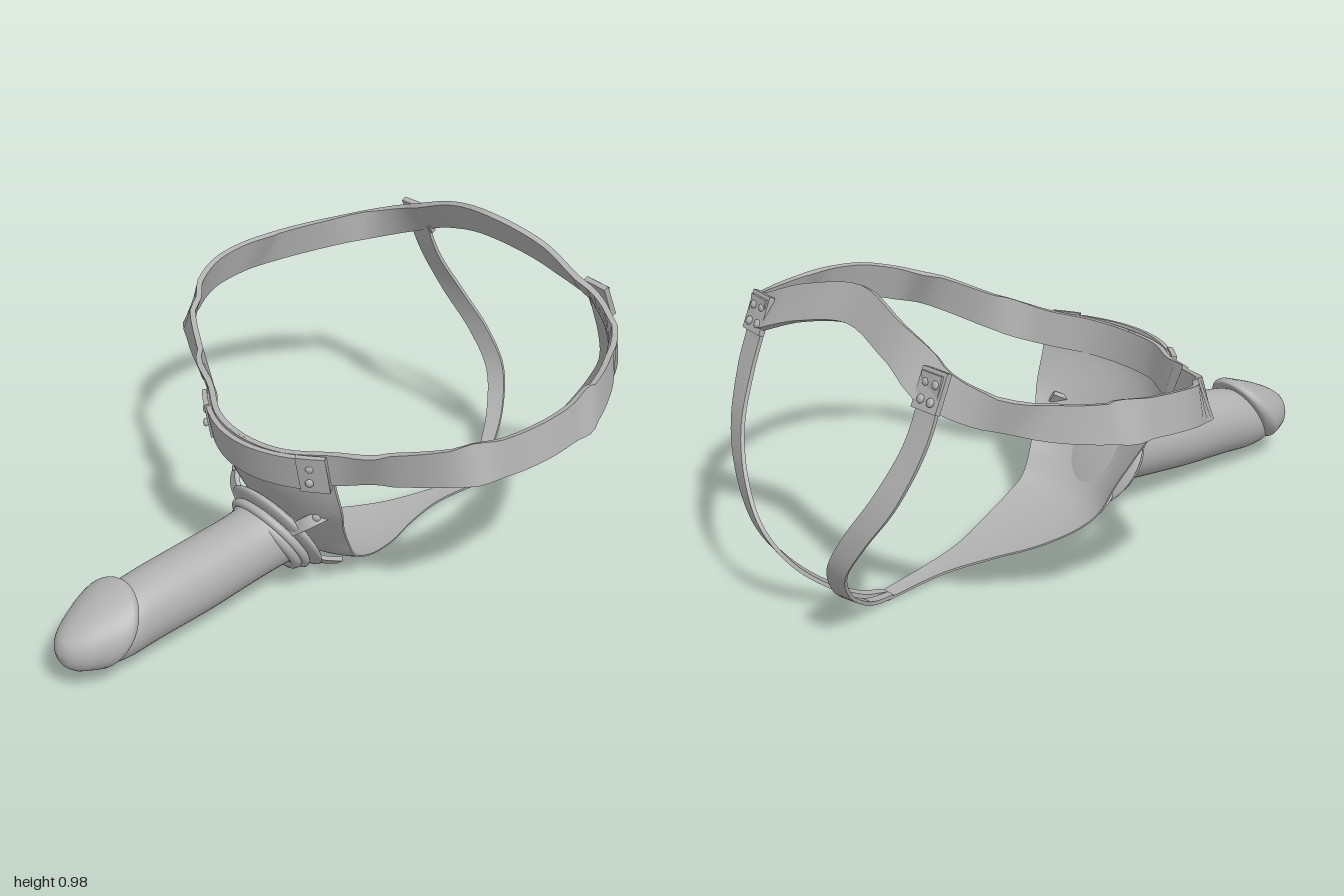
import * as THREE from 'three';
import { mergeGeometries } from 'three/addons/utils/BufferGeometryUtils.js';

const V = (a) => new THREE.Vector3(...a);
const grey = new THREE.MeshStandardMaterial({ color: 0xb0b0b0, side: THREE.DoubleSide });
grey.name = 'grey';

// Smooth grid surface from f(u, v); optionally closed in u
function surface(f, nu, nv, closed = false) {
  const pos = [], index = [], cols = closed ? nu : nu + 1;
  for (let i = 0; i < cols; i++)
    for (let j = 0; j <= nv; j++) pos.push(...f(i / nu, j / nv).toArray());
  for (let i = 0; i < nu; i++)
    for (let j = 0; j < nv; j++) {
      const a = i * (nv + 1) + j, b = ((i + 1) % cols) * (nv + 1) + j;
      index.push(a, b, a + 1, b, b + 1, a + 1);
    }
  const g = new THREE.BufferGeometry();
  g.setAttribute('position', new THREE.Float32BufferAttribute(pos, 3));
  g.setIndex(index);
  g.computeVertexNormals();
  return g;
}

// Flat band along a path; halves are the vectors from centre line to upper edge
function ribbon(points, halves, thick, n, closed = false) {
  const path = new THREE.CatmullRomCurve3(points.map(V), closed);
  const half = new THREE.CatmullRomCurve3(halves.map(V), closed);
  const at = (u, s, t) => {
    const w = half.getPoint(u);
    const out = path.getTangent(u).cross(w).normalize();
    return path.getPoint(u).addScaledVector(w, s).addScaledVector(out, t * thick / 2);
  };
  const k = [[-1, -1], [1, -1], [1, 1], [-1, 1]];
  const sides = k.map((a, i) => {
    const b = k[(i + 1) % 4];
    return surface((u, v) => at(u, a[0] + (b[0] - a[0]) * v, a[1] + (b[1] - a[1]) * v), n, 1, closed);
  });
  if (!closed) for (const e of [0, 1])
    sides.push(surface((u, v) => at(e, u * 2 - 1, v * 2 - 1), 1, 1));
  return mergeGeometries(sides);
}

// Elliptical sections [z, y, rx, ry, slant] joined along z
function loft(rows, n) {
  const c = new THREE.CatmullRomCurve3(rows.map((r) => V(r.slice(0, 3))));
  const d = new THREE.CatmullRomCurve3(rows.map((r) => V([r[3], r[4], 0])));
  return surface((u, v) => {
    const p = c.getPoint(v), q = d.getPoint(v), a = u * Math.PI * 2;
    const dy = Math.sin(a) * Math.max(q.x, 0);
    return V([Math.cos(a) * Math.max(p.z, 0), p.y + dy, p.x - dy * q.y]);
  }, 40, n, true);
}

export function createModel() {
  const model = new THREE.Group();
  const add = (name, geo, parent = model) => {
    const m = new THREE.Mesh(geo, grey);
    m.name = name;
    parent.add(m);
    return m;
  };
  const rivet = (x, y, z, ry, rx = 0) => {
    const m = add('rivet', new THREE.SphereGeometry(0.013, 12, 8));
    m.scale.z = 0.6;
    m.position.set(x, y, z);
    m.rotation.set(rx, ry, 0);
  };

  // Waist belt: half loop from front to back, then mirrored
  const belt = [
    [0, .53, .285], [.14, .535, .262], [.27, .55, .185], [.42, .58, .1], [.6, .63, 0],
    [.68, .66, -.1], [.72, .685, -.2], [.725, .7, -.32], [.7, .71, -.45], [.62, .735, -.61],
    [.51, .77, -.735], [.4, .81, -.79], [.2, .89, -.785], [0, .93, -.755]];
  const lean = belt.map(([x, , z]) => z > .05 ? [0, .055, .008]
    : z > -.6 ? [-.012, .055, 0] : [0, .05, x > .45 ? .01 : .026]);
  const mirror = (a) => a.slice(1, -1).reverse().map(([x, y, z]) => [-x, y, z]);
  add('waistBelt', ribbon([...belt, ...mirror(belt)], [...lean, ...mirror(lean)], .018, 120, true));

  // Front panel tapering to a narrow strip underneath
  const mid = [[0, .585, .295], [0, .47, .275], [0, .36, .225], [0, .26, .175], [0, .17, .12], [0, .1, .05],
    [0, .07, -.05], [0, .045, -.2], [0, .037, -.35], [0, .03, -.5], [0, .01, -.7]];
  const edge = [[.27, .59, .19], [.27, .48, .17], [.262, .37, .135], [.23, .29, .1], [.197, .2, .05], [.18, .12, 0],
    [.168, .085, -.07], [.13, .055, -.2], [.073, .04, -.35], [.038, .032, -.5], [.024, .01, -.7]];
  const cm = new THREE.CatmullRomCurve3(mid.map(V)), ce = new THREE.CatmullRomCurve3(edge.map(V));
  const panelAt = (off) => (u, v) => {
    const s = u * 2 - 1, m = cm.getPoint(v), e = ce.getPoint(v), y = off * v;
    return V([s * e.x, m.y + (e.y - m.y) * s * s - y, m.z + (e.z - m.z) * s * s + off * (1 - v)]);
  };
  add('frontPanel', mergeGeometries([
    surface(panelAt(0), 24, 50), surface(panelAt(.008), 24, 50),
    ...[0, 1].map((e) => surface((u, v) => panelAt(.008 * u)(e, v), 1, 50))]));

  // Folded hem over the belt with riveted end tabs
  const hemZ = (x) => .31 - 1.5 * x * x;
  const hem = (name, x0, x1, h, lift) => {
    const p = [0, 1, 2, 3, 4, 5, 6].map((i) => {
      const x = x0 + (x1 - x0) * i / 6;
      return [x, .53 + .1 * x * x, hemZ(x) + lift];
    });
    add(name, ribbon(p, p.map(() => [0, h, .012]), .016, 24));
  };
  hem('panelHem', -.27, .27, .057, 0);
  for (const s of [-1, 1]) {
    hem('hemTab', s * .2, s * .272, .062, .006);
    for (const y of [.51, .558]) rivet(s * .235, y, hemZ(.235) + .018, s * .6);
  }

  // Rear straps, curving from the strip underneath up to the belt
  for (const s of [-1, 1]) {
    const p = [[.012, .01, -.68], [.03, .025, -.76], [.065, .07, -.84], [.12, .15, -.93], [.185, .26, -.99],
      [.265, .38, -.985], [.345, .51, -.94], [.39, .66, -.87], [.395, .77, -.825], [.395, .86, -.805]];
    const w = [[.012, 0, 0], [.016, 0, .003], [.02, -.004, .01], [.024, -.006, .012], [.028, -.01, .01],
      [.032, -.012, .008], [.036, -.01, .006], [.038, 0, .004], [.038, 0, .003], [.038, 0, .003]];
    const flip = (a) => a.map(([x, y, z]) => [x * s, y, z]);
    add('rearStrap', ribbon(flip(p), flip(w), .012, 50));
    // Riveted patch on the belt
    const patch = [[.395, .76, -.836], [.395, .81, -.814], [.395, .866, -.79]];
    add('strapPatch', ribbon(flip(patch), flip(patch.map(() => [.046, 0, .004])), .018, 6));
    for (const dx of [-.02, .02])
      for (const [y, z] of [[.79, -.834], [.835, -.814]]) rivet(s * (.395 + dx), y, z, 0, .45);
  }

  // Mounting pad and retaining rings, tilted to the panel
  const mount = new THREE.Group();
  mount.name = 'mount';
  mount.position.set(0, .215, .165);
  mount.rotation.x = .53;
  model.add(mount);
  const pad = add('mountPad', new THREE.SphereGeometry(1, 40, 20), mount);
  pad.scale.set(.175, .18, .03);
  const ring = add('retainingRing', new THREE.TorusGeometry(.138, .014, 12, 48), mount);
  ring.position.z = .032;
  const collar = add('collar', new THREE.TorusGeometry(.115, .02, 12, 48), mount);
  collar.position.z = .05;

  // Short straps holding the ring
  for (const s of [-1, 1]) {
    add('ringStrap', ribbon([[s * .2, .345, .145], [s * .165, .315, .195], [s * .11, .27, .215]],
      [[s * .012, -.015, 0], [s * .012, -.015, 0], [s * .012, -.015, 0]], .016, 10));
    add('ringStrap', ribbon([[s * .135, .09, .03], [s * .115, .115, .095], [s * .08, .14, .135]],
      [[s * .014, .012, 0], [s * .014, .012, 0], [s * .014, .012, 0]], .014, 10));
    rivet(s * .188, .337, .175, s * .5);
  }

  // Shaft and rounded head
  add('shaft', loft([
    [.15, .215, .125, .115, -.5], [.22, .207, .113, .108, -.35], [.32, .195, .106, .108, -.1],
    [.5, .178, .107, .112, 0], [.68, .165, .104, .112, .1], [.8, .15, .1, .105, .3],
    [.87, .14, .075, .075, .4], [.89, .14, 0, 0, .4]], 40));
  add('head', loft([
    [.81, .17, .085, .085, .5], [.808, .174, .112, .106, .55], [.828, .175, .127, .115, .55],
    [.86, .17, .122, .108, .5], [.9, .162, .104, .094, .4], [.94, .153, .083, .077, .3],
    [.975, .146, .055, .053, .15], [.994, .142, .025, .025, 0], [1, .141, 0, 0, 0]], 40));
  return model;
}
